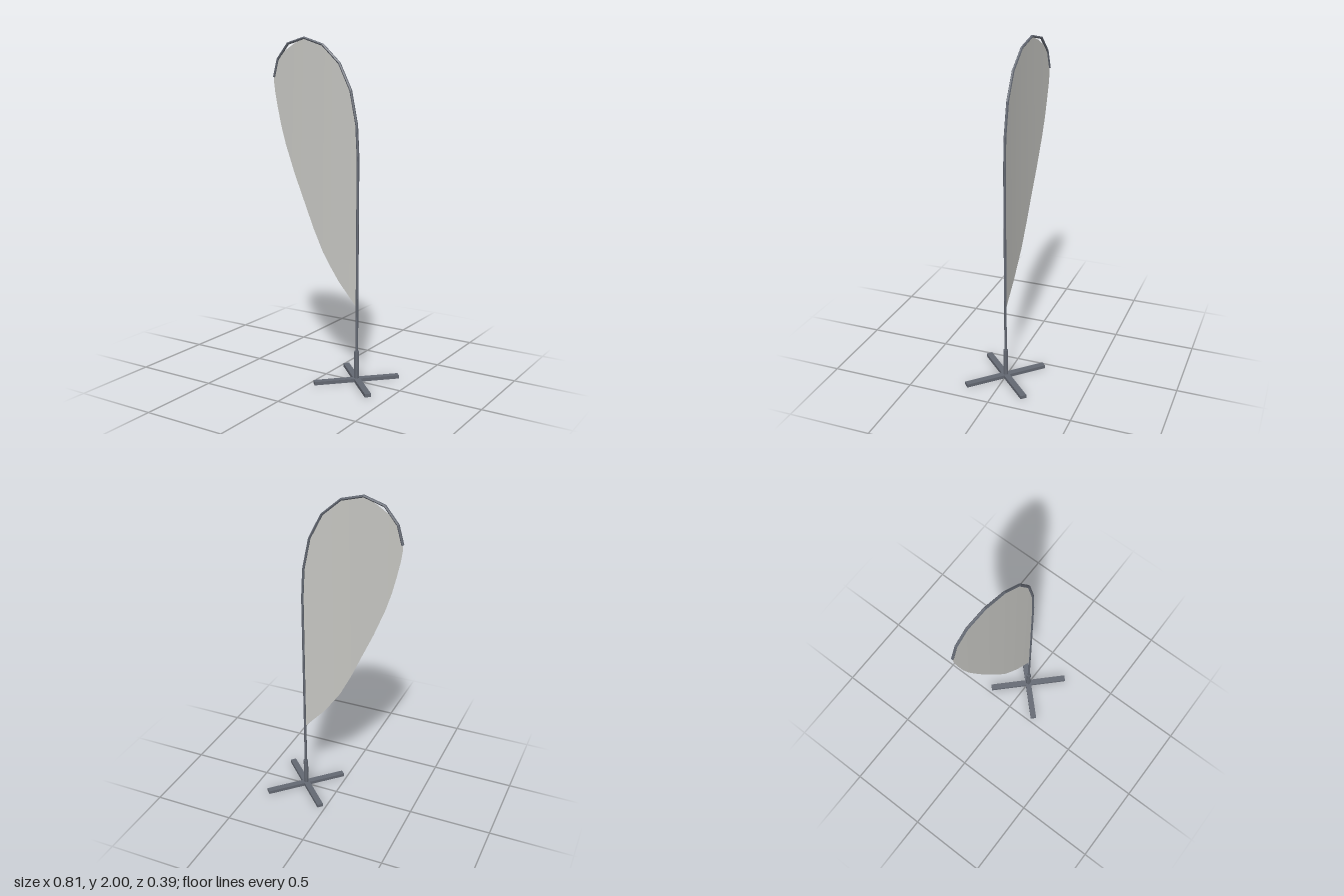
import * as THREE from 'three';

const POLE_X = 0.212;

// Backward bow of the flag, growing with distance from the pole
const bow = (x) => -0.048 * Math.pow(Math.max(0, (POLE_X - x) / 0.61), 1.7);

// Straight-segment path, sampled exactly at its corners
class Polyline extends THREE.Curve {
  constructor(points) { super(); this.points = points; }
  getPoint(t) {
    const n = this.points.length - 1;
    const i = Math.min(n - 1, Math.floor(t * n));
    return this.points[i].clone().lerp(this.points[i + 1], t * n - i);
  }
  getPointAt(u) { return this.getPoint(u); }
  getTangentAt(u) { return this.getTangent(u); }
}

// Faceted normals
function flat(geometry) {
  const g = geometry.toNonIndexed();
  g.computeVertexNormals();
  return g;
}

export function createModel() {
  const group = new THREE.Group();
  const metal = new THREE.MeshStandardMaterial({ color: 0x646973 });
  metal.name = 'grey metal';
  const cloth = new THREE.MeshStandardMaterial({ color: 0xc8c8c4, side: THREE.DoubleSide });
  cloth.name = 'pale grey cloth';

  const add = (name, geometry, material) => {
    const mesh = new THREE.Mesh(geometry, material);
    mesh.name = name;
    group.add(mesh);
    return mesh;
  };

  // Crossed base legs
  for (const side of [1, -1]) {
    const leg = add('baseLeg', new THREE.BoxGeometry(0.512, 0.02, 0.037), metal);
    leg.position.set(POLE_X, 0.01, 0);
    leg.rotation.y = side * Math.PI / 4;
  }

  // Socket holding the pole
  add('poleSocket', flat(new THREE.CylinderGeometry(0.015, 0.015, 0.165, 8)), metal)
    .position.set(POLE_X, 0.1025, 0);

  // Pole: straight mast with a curved tip
  const path = [
    [POLE_X, 0.03], [POLE_X, 0.7], [POLE_X, 1.33], [0.202, 1.51], [0.162, 1.7], [0.085, 1.85],
    [-0.03, 1.952], [-0.165, 1.992], [-0.288, 1.96], [-0.367, 1.87], [-0.398, 1.765],
  ].map(([x, y]) => new THREE.Vector3(x, y, bow(x)));
  const curve = new Polyline(path);
  add('pole', flat(new THREE.TubeGeometry(curve, path.length - 1, 0.008, 6)), metal);
  const tip = add('poleTip', new THREE.CircleGeometry(0.008, 6), metal);
  tip.position.copy(path.at(-1));
  tip.lookAt(path.at(-1).clone().multiplyScalar(2).sub(path.at(-2)));

  // Flag: columns of [x, bottom, top], joined into a bowed sheet
  const columns = [
    [0.211, 0.45, 1.33], [0.202, 0.455, 1.51], [0.162, 0.5, 1.7], [0.085, 0.585, 1.85],
    [0.03, 0.66, 1.9], [-0.03, 0.748, 1.95], [-0.1, 0.885, 1.972], [-0.165, 1.03, 1.99],
    [-0.24, 1.195, 1.96], [-0.31, 1.37, 1.92], [-0.345, 1.48, 1.885], [-0.37, 1.58, 1.85],
    [-0.39, 1.67, 1.8], [-0.399, 1.73, 1.77],
  ];
  const positions = [];
  const index = [];
  columns.forEach(([x, bottom, top], i) => {
    positions.push(x, bottom, bow(x), x, top, bow(x));
    if (i > 0) {
      const a = 2 * (i - 1);
      index.push(a, a + 1, a + 2, a + 1, a + 3, a + 2);
    }
  });
  // Reverse the winding so the sheet faces forward
  for (let i = 0; i < index.length; i += 3) [index[i + 1], index[i + 2]] = [index[i + 2], index[i + 1]];
  const sheet = new THREE.BufferGeometry();
  sheet.setAttribute('position', new THREE.Float32BufferAttribute(positions, 3));
  sheet.setIndex(index);
  sheet.computeVertexNormals();
  add('flag', sheet, cloth);

  return group;
}
